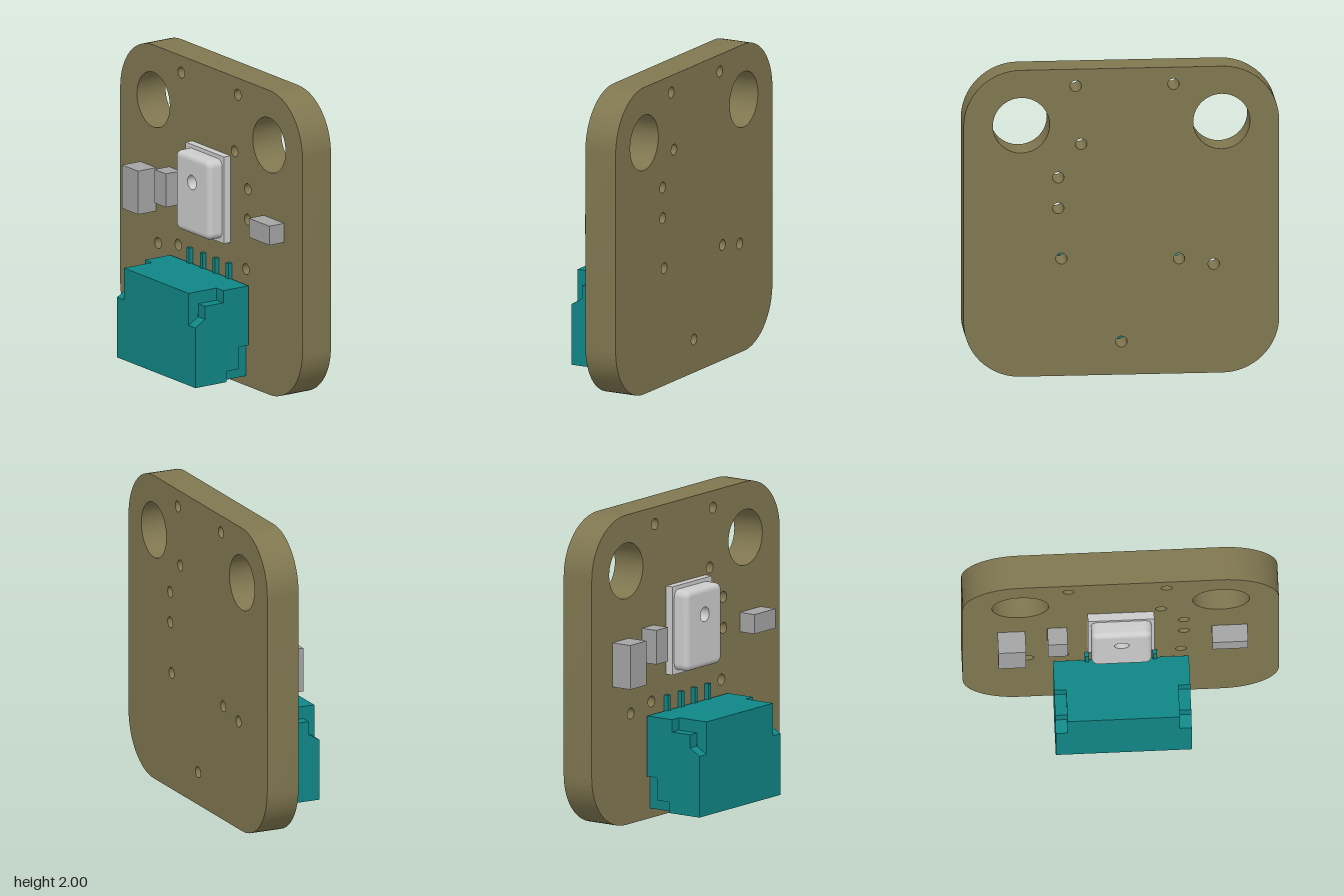
import * as THREE from 'three';
import { toCreasedNormals } from 'three/addons/utils/BufferGeometryUtils.js';

const material = (color) => new THREE.MeshStandardMaterial({ color });
const grey = material(0xcccccc);
const darkGrey = material(0xa4a4a4);
const olive = material(0x807750);
const teal = material(0x108585);

function add(parent, name, geometry, mat) {
  const mesh = new THREE.Mesh(geometry, mat);
  mesh.name = name;
  parent.add(mesh);
  return mesh;
}

// Box given by its extents on each axis
function block(parent, name, [x0, x1], [y0, y1], [z0, z1], mat) {
  const mesh = add(parent, name, new THREE.BoxGeometry(x1 - x0, y1 - y0, z1 - z0), mat);
  mesh.position.set((x0 + x1) / 2, (y0 + y1) / 2, (z0 + z1) / 2);
  return mesh;
}

// Outline points of a rounded rectangle, counter-clockwise
function roundedRect(cx, cy, hw, hh, r, steps) {
  const points = [];
  [[1, 1], [-1, 1], [-1, -1], [1, -1]].forEach(([sx, sy], q) => {
    for (let i = 0; i <= steps; i++) {
      const a = (q + i / steps) * Math.PI / 2;
      points.push(new THREE.Vector2(
        cx + sx * (hw - r) + r * Math.cos(a), cy + sy * (hh - r) + r * Math.sin(a)));
    }
  });
  return points;
}

function punch(shape, x, y, r) {
  const hole = new THREE.Path();
  hole.absarc(x, y, r, 0, Math.PI * 2, true);
  shape.holes.push(hole);
}

// Extrude a [z, y] side profile from x0 to x1
function sideProfile(points, x0, x1) {
  const shape = new THREE.Shape(points.map(([z, y]) => new THREE.Vector2(z, y)));
  const g = new THREE.ExtrudeGeometry(shape, { depth: x1 - x0, bevelEnabled: false });
  return g.rotateY(-Math.PI / 2).translate(x1, 0, 0);
}

function buildBoard(parent) {
  const shape = new THREE.Shape(roundedRect(0, 1, 1, 1, 0.36, 16));
  for (const s of [-1, 1]) punch(shape, s * 0.635, 1.64, 0.18);
  const vias = [[-0.33, 1.89], [0.29, 1.89], [0.255, 1.51], [0.4, 1.295], [0.4, 1.095],
    [0.38, 0.765], [-0.365, 0.75], [-0.585, 0.71], [0, 0.215]];
  for (const [x, y] of vias) punch(shape, x, y, 0.036);
  const g = new THREE.ExtrudeGeometry(shape, { depth: 0.22, bevelEnabled: false, curveSegments: 20 });
  add(parent, 'circuitBoard', toCreasedNormals(g.translate(0, 0, -0.32), 0.6), olive);
}

function buildSensor(parent) {
  const sensor = new THREE.Group();
  sensor.name = 'sensor';
  parent.add(sensor);
  block(sensor, 'sensorBase', [-0.21, 0.21], [0.9, 1.47], [-0.1, -0.05], grey);

  // Can wall with a rounded front rim, lofted through inset outlines
  const cy = 1.185, hw = 0.19, hh = 0.26, bevel = 0.035, corner = 0.045, top = 0.05;
  const outline = (inset) => roundedRect(0, cy, hw - inset, hh - inset, corner - inset, 6);
  const rings = [[0, -0.05]];
  for (let i = 0; i <= 6; i++) {
    const a = i / 6 * Math.PI / 2;
    rings.push([bevel * (1 - Math.cos(a)), top - bevel + bevel * Math.sin(a)]);
  }
  const positions = [], index = [];
  rings.forEach(([inset, z], r) => {
    const loop = outline(inset), n = loop.length;
    loop.forEach((p, i) => {
      positions.push(p.x, p.y, z);
      if (r === 0) return;
      const a = (r - 1) * n + i, b = (r - 1) * n + (i + 1) % n;
      index.push(a, b, b + n, a, b + n, a + n);
    });
  });
  const wall = new THREE.BufferGeometry();
  wall.setAttribute('position', new THREE.Float32BufferAttribute(positions, 3));
  wall.setIndex(index);
  wall.computeVertexNormals();
  add(sensor, 'sensorCanWall', wall, grey);

  // Flat front with the port opening
  const face = new THREE.Shape(outline(bevel));
  punch(face, 0, 1.27, 0.047);
  add(sensor, 'sensorCanFace', new THREE.ShapeGeometry(face, 16).translate(0, 0, top), grey);
  const lining = grey.clone();
  lining.side = THREE.DoubleSide;
  const bore = new THREE.CylinderGeometry(0.047, 0.047, 0.1, 32, 1, true).rotateX(Math.PI / 2);
  add(sensor, 'sensorPort', bore.translate(0, 1.27, 0), lining);
}

function buildConnector(parent) {
  const connector = new THREE.Group();
  connector.name = 'connector';
  parent.add(connector);

  // Middle of the housing, hollow and open at the bottom
  const middle = [[-0.085, 0.065], [-0.025, 0.065], [-0.025, 0.52], [0.255, 0.52],
    [0.255, 0.065], [0.325, 0.065], [0.325, 0.67], [-0.085, 0.67]];
  add(connector, 'housing', sideProfile(middle, -0.355, 0.355), teal);

  // End walls, stepped at the top front and the bottom back
  const end = [[0.085, 0.065], [0.325, 0.065], [0.325, 0.46], [0.25, 0.505], [0.25, 0.59],
    [0.11, 0.59], [0.11, 0.67], [-0.085, 0.67], [-0.085, 0.28], [-0.01, 0.28],
    [-0.01, 0.135], [0.085, 0.135]];
  // Solder tabs set inside the lower steps
  const tab = [[-0.098, 0.065], [0.085, 0.065], [0.085, 0.135], [-0.01, 0.135],
    [-0.01, 0.28], [-0.098, 0.28]];
  for (const s of [-1, 1]) {
    const span = (a, b) => (s > 0 ? [a, b] : [-b, -a]);
    add(connector, 'endWall', sideProfile(end, ...span(0.355, 0.43)), teal);
    add(connector, 'solderTab', sideProfile(tab, ...span(0.355, 0.385)), teal);
  }

  // Four contacts: board leg behind, pin inside the cavity
  for (const x of [-0.215, -0.07, 0.07, 0.215]) {
    const w = [x - 0.014, x + 0.014];
    block(connector, 'contactLeg', w, [0.655, 0.77], [-0.1, -0.07], teal);
    block(connector, 'contactPin', w, [0.2, 0.53], [0.1, 0.13], teal);
  }
}

export function createModel() {
  const model = new THREE.Group();
  model.name = 'sensorBoard';
  buildBoard(model);
  buildSensor(model);
  buildConnector(model);

  // Surface-mounted components
  block(model, 'largeComponent', [-0.78, -0.605], [0.915, 1.2], [-0.1, 0.04], darkGrey);
  block(model, 'smallComponent', [-0.465, -0.34], [1.02, 1.24], [-0.1, 0.012], darkGrey);
  block(model, 'wideComponent', [0.575, 0.8], [1.04, 1.165], [-0.1, 0.015], darkGrey);
  return model;
}
